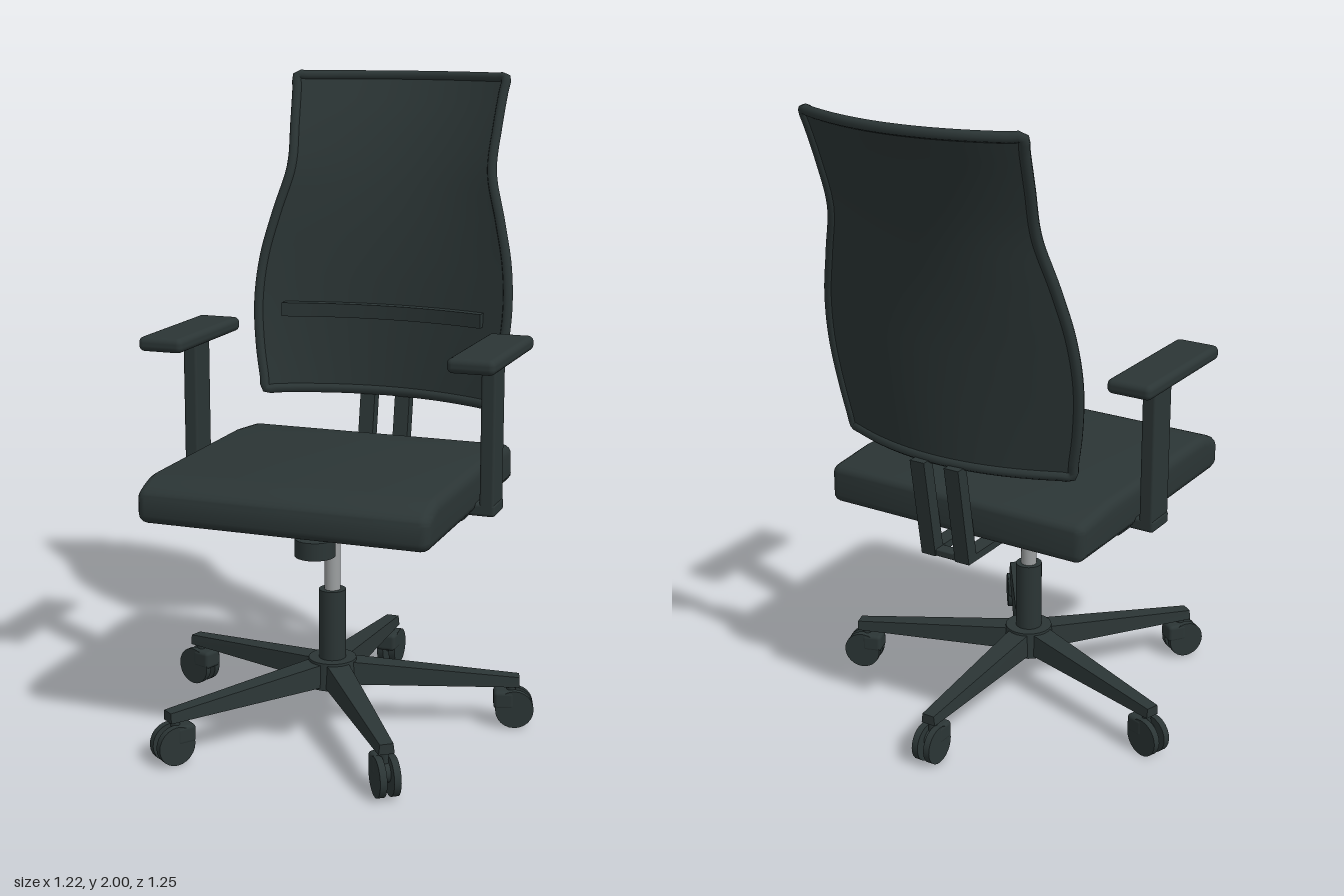
import * as THREE from 'three';
import { toCreasedNormals } from 'three/addons/utils/BufferGeometryUtils.js';
import { RoundedBoxGeometry } from 'three/addons/geometries/RoundedBoxGeometry.js';

const dark = new THREE.MeshStandardMaterial({ name: 'charcoal', color: 0x2b3535 });
const steel = new THREE.MeshStandardMaterial({ name: 'steel grey', color: 0x9c9fa0 });

function add(parent, name, geo, x = 0, y = 0, z = 0, mat = dark) {
  const mesh = new THREE.Mesh(geo, mat);
  mesh.name = name;
  mesh.position.set(x, y, z);
  parent.add(mesh);
  return mesh;
}

// Box given by its limits, with softened edges
function addBox(parent, name, [x0, x1], [y0, y1], [z0, z1], r = 0.006) {
  const geo = new RoundedBoxGeometry(x1 - x0, y1 - y0, z1 - z0, 3, r);
  return add(parent, name, geo, (x0 + x1) / 2, (y0 + y1) / 2, (z0 + z1) / 2);
}

// Moves every vertex of a geometry by a rule
function deform(geo, rule) {
  const p = geo.attributes.position, v = new THREE.Vector3();
  for (let i = 0; i < p.count; i++) {
    rule(v.fromBufferAttribute(p, i));
    p.setXYZ(i, v.x, v.y, v.z);
  }
  geo.computeVertexNormals();
  return geo;
}

// Extrudes a side profile in (z, y) across a width centred on x = 0
function sideExtrude(shape, width, bevel) {
  const geo = new THREE.ExtrudeGeometry(shape, {
    depth: width - 2 * bevel, bevelEnabled: bevel > 0, bevelSize: bevel,
    bevelThickness: bevel, bevelOffset: -bevel, bevelSegments: 4, curveSegments: 8,
  });
  geo.translate(0, 0, -(width - 2 * bevel) / 2).rotateY(-Math.PI / 2);
  return toCreasedNormals(geo, 0.6);
}

// Backrest rows, evenly spaced in height: half width, z at centre, z at the sides
const BOTTOM = 0.97, TOP = 1.985;
const rows = new THREE.CatmullRomCurve3([
  [0.385, -0.390, -0.290], [0.412, -0.402, -0.308], [0.425, -0.415, -0.330], [0.414, -0.431, -0.356],
  [0.380, -0.455, -0.385], [0.342, -0.490, -0.420], [0.346, -0.540, -0.463], [0.356, -0.605, -0.515],
].map((r) => new THREE.Vector3(...r)), false, 'catmullrom', 0.5);

// Point on the curved back: u from -1 to 1 across, t from 0 to 1 upwards
function backPoint(u, t) {
  const r = rows.getPoint(t);
  return new THREE.Vector3(u * r.x, BOTTOM + t * (TOP - BOTTOM), r.y + (r.z - r.y) * u * u);
}

function buildBackrest() {
  const g = new THREE.Group();
  g.name = 'backrest';
  add(g, 'backPanel', deform(new THREE.BoxGeometry(2, 1, 0.01, 20, 28, 1), (v) => {
    const depth = v.z;
    v.copy(backPoint(v.x, v.y + 0.5));
    v.z += depth;
  }));

  // Rim all the way round the panel
  const pts = [], n = 24;
  for (let i = 0; i < n; i++) pts.push(backPoint(-1 + 2 * i / n, 0));
  for (let i = 0; i < n; i++) pts.push(backPoint(1, i / n));
  for (let i = 0; i < n; i++) pts.push(backPoint(1 - 2 * i / n, 1));
  for (let i = 0; i < n; i++) pts.push(backPoint(-1, 1 - i / n));
  const path = new THREE.CatmullRomCurve3(pts, true);
  add(g, 'backRim', new THREE.TubeGeometry(path, 240, 0.016, 8, true));

  // Lumbar bar following the curve of the back
  const t = (1.232 - BOTTOM) / (TOP - BOTTOM), w = rows.getPoint(t).x;
  const bar = deform(new THREE.BoxGeometry(0.68, 0.045, 0.035, 24, 1, 1), (v) => {
    v.z += backPoint(v.x / w, t).z + 0.02;
  });
  add(g, 'lumbarBar', toCreasedNormals(bar, 0.6), 0, 1.232, 0);
  return g;
}

function buildSeat() {
  const s = new THREE.Shape();
  s.moveTo(-0.32, 0.72);
  s.lineTo(0.51, 0.72);
  s.quadraticCurveTo(0.545, 0.725, 0.547, 0.75);
  s.lineTo(0.547, 0.80);
  s.quadraticCurveTo(0.545, 0.82, 0.52, 0.832);
  s.quadraticCurveTo(0.47, 0.855, 0.43, 0.856);
  s.lineTo(-0.16, 0.856);
  s.lineTo(-0.31, 0.842);
  s.quadraticCurveTo(-0.342, 0.838, -0.342, 0.81);
  s.lineTo(-0.342, 0.745);
  s.quadraticCurveTo(-0.342, 0.72, -0.32, 0.72);
  return sideExtrude(s, 0.9, 0.03);
}

function buildMechanism() {
  const g = new THREE.Group();
  g.name = 'mechanism';
  addBox(g, 'mechanismBox', [-0.215, 0.215], [0.645, 0.73], [-0.13, 0.27]);
  add(g, 'tensionKnob', new THREE.CylinderGeometry(0.062, 0.062, 0.055, 24), 0, 0.617, 0.252);

  const lever = new THREE.LineCurve3(new THREE.Vector3(0.2, 0.682, 0.14), new THREE.Vector3(0.345, 0.657, 0.23));
  add(g, 'heightLever', deform(new THREE.CylinderGeometry(0.011, 0.011, 1, 8), (v) => {
    const p = lever.getPoint(v.y + 0.5);
    v.set(p.x + v.x * 0.5, p.y + v.z, p.z - v.x);
  }));

  // Pair of bent bars carrying the backrest
  const s = new THREE.Shape([
    [-0.12, 0.645], [-0.375, 0.645], [-0.428, 0.965], [-0.385, 0.965], [-0.335, 0.668], [-0.12, 0.668],
  ].map((p) => new THREE.Vector2(...p)));
  for (const side of [-1, 1]) add(g, 'backSupport', sideExtrude(s, 0.05, 0), side * 0.06, 0, 0);
  addBox(g, 'supportCrossbar', [-0.085, 0.085], [0.645, 0.667], [-0.372, -0.33], 0.004);
  return g;
}

function buildArm(side) {
  const g = new THREE.Group();
  g.name = side > 0 ? 'leftArm' : 'rightArm';
  const span = (a, b) => (side > 0 ? [a, b] : [-b, -a]);
  addBox(g, 'armPad', span(0.415, 0.56), [1.185, 1.23], [-0.158, 0.292], 0.018);
  addBox(g, 'armPost', span(0.462, 0.507), [0.72, 1.19], [-0.02, 0.085], 0.008);
  addBox(g, 'armFoot', span(0.3, 0.51), [0.712, 0.752], [-0.02, 0.085], 0.01);
  addBox(g, 'armBracket', span(0.3, 0.435), [0.712, 0.745], [-0.09, 0.155], 0.01);
  return g;
}

// One leg of the base pointing along +z, with its twin-wheel caster
function buildLeg() {
  const g = new THREE.Group();
  g.name = 'baseLeg';
  add(g, 'legBeam', deform(new THREE.BoxGeometry(1, 1, 1), (v) => {
    const t = v.z + 0.5, up = v.y > 0;
    const half = THREE.MathUtils.lerp(0.042, 0.024, t) * (up ? 0.85 : 1);
    v.set(Math.sign(v.x) * half, up ? 0.213 - 0.05 * t : 0.14 - 0.008 * t, 0.04 + 0.545 * t);
  }));
  const wheel = new THREE.CylinderGeometry(0.06, 0.06, 0.021, 24).rotateZ(Math.PI / 2);
  for (const side of [-1, 1]) add(g, 'casterWheel', wheel, side * 0.021, 0.06, 0.57);
  add(g, 'casterHub', new THREE.CylinderGeometry(0.03, 0.03, 0.04, 16).rotateZ(Math.PI / 2), 0, 0.07, 0.565);
  addBox(g, 'casterHood', [-0.033, 0.033], [0.06, 0.118], [0.505, 0.57], 0.012);
  add(g, 'casterStem', new THREE.CylinderGeometry(0.014, 0.014, 0.07, 12), 0, 0.115, 0.56);
  return g;
}

function buildBase() {
  const g = new THREE.Group();
  g.name = 'base';
  g.position.z = 0.105;
  add(g, 'hub', new THREE.CylinderGeometry(0.075, 0.085, 0.085, 24), 0, 0.175, 0);
  add(g, 'columnSleeve', new THREE.CylinderGeometry(0.042, 0.042, 0.25, 24), 0, 0.315, 0);
  add(g, 'gasPiston', new THREE.CylinderGeometry(0.025, 0.025, 0.22, 24), 0, 0.545, 0, steel);
  for (let i = 0; i < 5; i++) {
    const leg = buildLeg();
    leg.rotation.y = Math.PI + i * Math.PI * 2 / 5;
    g.add(leg);
  }
  return g;
}

export function createModel() {
  const chair = new THREE.Group();
  chair.name = 'officeChair';
  chair.add(buildBase(), buildMechanism(), buildBackrest(), buildArm(1), buildArm(-1));
  add(chair, 'seatCushion', buildSeat());
  return chair;
}
